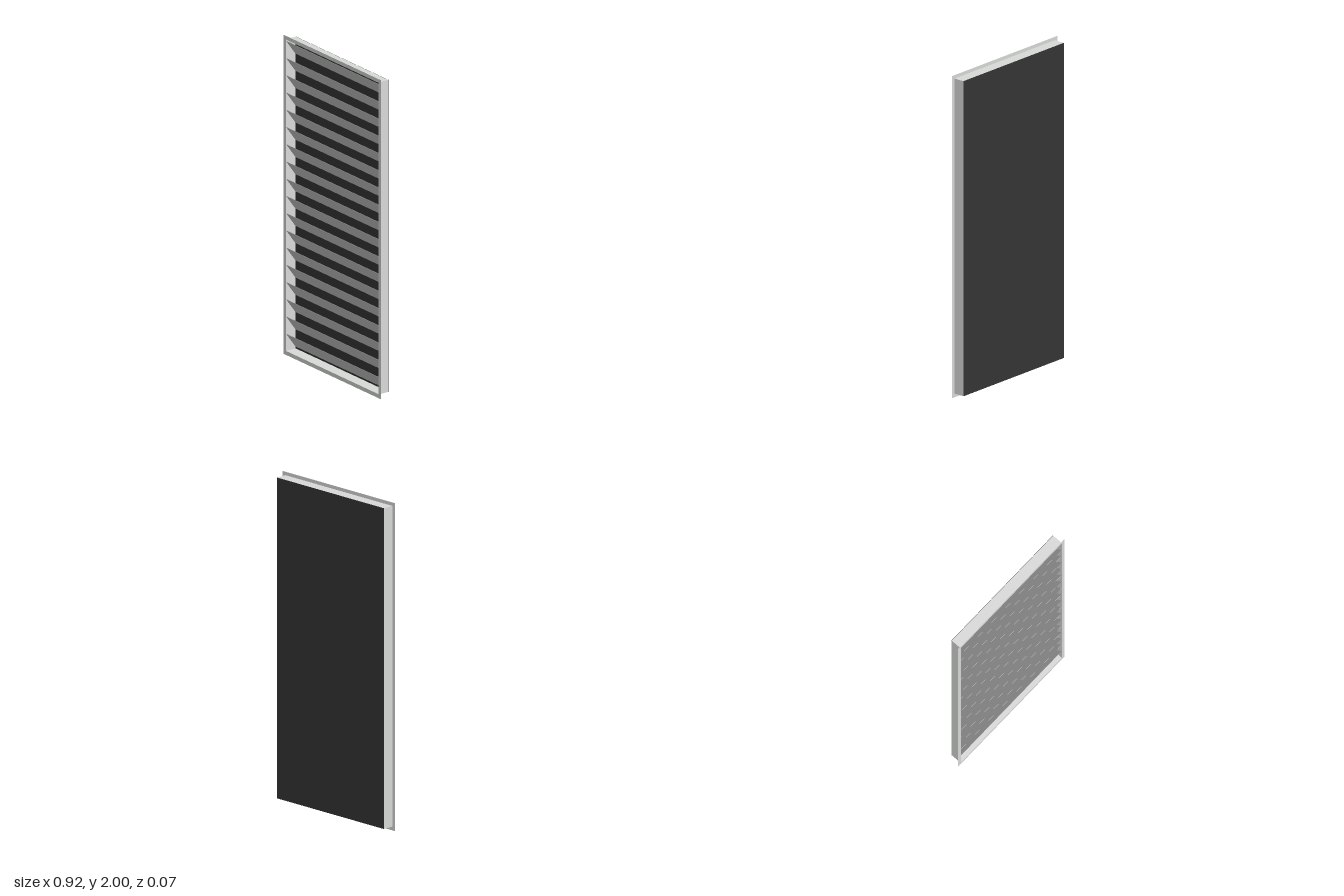
import * as THREE from 'three';

const W = 0.924, H = 2, D = 0.072;            // overall size
const X = 0.441, Y0 = 0.023, Y1 = 1.979;      // outer faces of the sleeve
const T = 0.002;                              // sheet thickness

// Rectangular ring extruded along z
function ring(x, y0, y1, hx, hy0, hy1, z, depth, material, name) {
  const rect = (P, a, b, c) => new P([
    new THREE.Vector2(-a, b), new THREE.Vector2(a, b),
    new THREE.Vector2(a, c), new THREE.Vector2(-a, c)]);
  const shape = rect(THREE.Shape, x, y0, y1);
  shape.holes.push(rect(THREE.Path, hx, hy0, hy1));
  const geo = new THREE.ExtrudeGeometry(shape, { depth, bevelEnabled: false });
  const mesh = new THREE.Mesh(geo, material);
  mesh.position.z = z;
  mesh.name = name;
  return mesh;
}

export function createModel() {
  const lightGrey = new THREE.MeshStandardMaterial({ color: 0xdadcda });
  lightGrey.name = 'lightGrey';
  const screenDark = new THREE.MeshStandardMaterial({ color: 0x353535 });
  screenDark.name = 'screenDark';

  const group = new THREE.Group();
  group.name = 'louverPanel';

  // Thin front flange and the deeper sleeve behind it
  group.add(ring(W / 2, 0, H, X - T, Y0 + T, Y1 - T, D / 2 - T, T, lightGrey, 'flange'));
  group.add(ring(X, Y0, Y1, X - T, Y0 + T, Y1 - T, -D / 2 + T, D - 2 * T, lightGrey, 'sleeve'));

  // Dark screen closing the back
  const screen = new THREE.Mesh(new THREE.BoxGeometry(2 * X, Y1 - Y0, T), screenDark);
  screen.position.set(0, (Y0 + Y1) / 2, (T - D) / 2);
  screen.name = 'backScreen';
  group.add(screen);

  // Sloping slats: front edge high, back edge low
  const count = 18, pitch = 0.108, top = 1.968;
  const zf = D / 2 - 0.003, zb = -D / 2 + 0.003, drop = 0.092, t = 0.003;
  const profile = new THREE.Shape([
    new THREE.Vector2(zb, -drop - t), new THREE.Vector2(zf, -t),
    new THREE.Vector2(zf, 0), new THREE.Vector2(zb, -drop)]);
  const length = 2 * (X - T);
  const slatGeo = new THREE.ExtrudeGeometry(profile, { depth: length, bevelEnabled: false });
  slatGeo.translate(0, 0, -length / 2);
  slatGeo.rotateY(-Math.PI / 2);              // profile x becomes +z
  const slats = new THREE.Group();
  slats.name = 'slats';
  for (let i = 0; i < count; i++) {
    const slat = new THREE.Mesh(slatGeo, lightGrey);
    slat.position.y = top - i * pitch;
    slat.name = 'slat' + (i + 1);
    slats.add(slat);
  }
  group.add(slats);
  return group;
}
